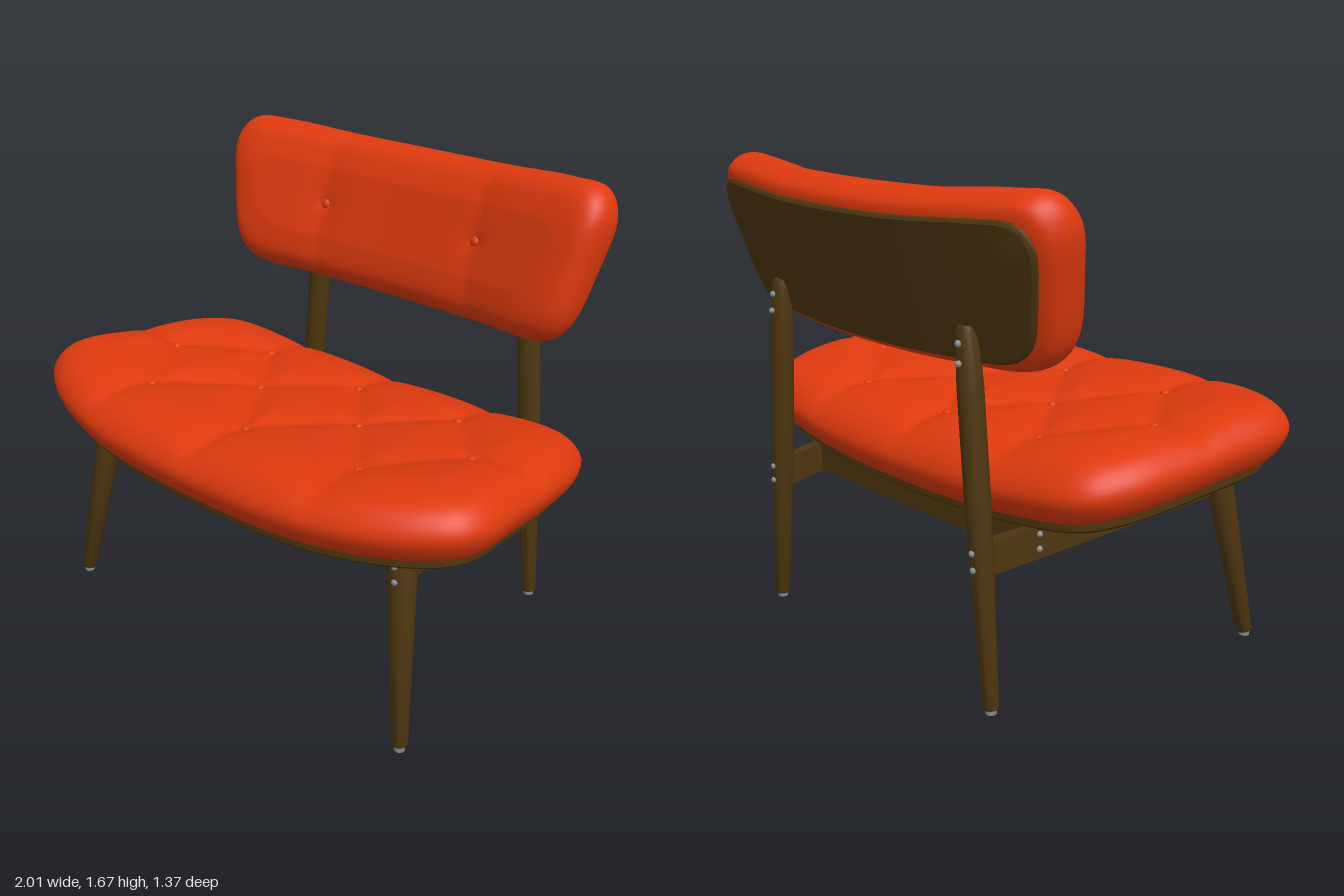
import * as THREE from 'three';
import { toCreasedNormals } from 'three/addons/utils/BufferGeometryUtils.js';

const mat = (name, color) => {
  const m = new THREE.MeshStandardMaterial({ color });
  m.name = name;
  return m;
};

// distance from a point to the segment [x1, y1, x2, y2]
function segmentDistance(x, y, [x1, y1, x2, y2]) {
  const dx = x2 - x1, dy = y2 - y1;
  const t = THREE.MathUtils.clamp(((x - x1) * dx + (y - y1) * dy) / (dx * dx + dy * dy), 0, 1);
  return Math.hypot(x - x1 - t * dx, y - y1 - t * dy);
}

// depth of the tufting at a point
function tuftDepth(x, y, tuft) {
  if (!tuft) return 0;
  const line = Math.min(...tuft.lines.map((l) => segmentDistance(Math.abs(x), y, l)));
  const dot = Math.min(...tuft.buttons.map(([bx, by]) => Math.hypot(Math.abs(x) - bx, y - by)));
  return tuft.depth * Math.exp(-line / tuft.width) + 0.015 * Math.exp(-dot / 0.03);
}

// Padded or flat slab: a mirrored outline in xy, an edge profile of [inset, height], bent by a rule
function slab(half, profile, bend, tuft, sides = 200) {
  const mirrored = half.filter((p) => p[0] > 0).map(([x, y]) => [-x, y]).reverse();
  const outline = new THREE.CatmullRomCurve3(
    [...half, ...mirrored].map(([x, y]) => new THREE.Vector3(x, y, 0)), true, 'centripetal'
  ).getSpacedPoints(sides).slice(0, sides);
  const hx = Math.max(...half.map((p) => p[0]));
  const ys = half.map((p) => p[1]);
  const cy = (Math.max(...ys) + Math.min(...ys)) / 2, hy = (Math.max(...ys) - Math.min(...ys)) / 2;

  const rim = tuft
    ? new THREE.SplineCurve(profile.map((p) => new THREE.Vector2(...p))).getPoints(22)
    : profile.map((p) => new THREE.Vector2(...p));
  const rings = [];
  for (let i = 0; i < 8; i++) rings.push([rim[0].x, rim[0].y, Math.max(i / 8, 0.002)]);
  rim.forEach((p) => rings.push([p.x, p.y, 1]));
  const last = rim[rim.length - 1], inner = tuft ? 28 : 8;
  for (let i = inner - 1; i >= 0; i--) rings.push([last.x, last.y, Math.max(i / inner, 0.002)]);

  const pos = [], index = [];
  rings.forEach(([inset, h, s], i) => {
    outline.forEach((p, j) => {
      const x = p.x * (1 - inset / hx) * s;
      const y = cy + (p.y - cy) * (1 - inset / hy) * s;
      const soft = Math.max(h / last.y, 0) ** 3;
      pos.push(x, y, h + bend(x, y) - soft * tuftDepth(x, y, tuft));
      if (i === rings.length - 1) return;
      const a = i * sides + j, b = i * sides + (j + 1) % sides;
      index.push(a, b, a + sides, b, b + sides, a + sides);
    });
  });
  const g = new THREE.BufferGeometry();
  g.setAttribute('position', new THREE.Float32BufferAttribute(pos, 3));
  g.setIndex(index);
  g.computeVertexNormals();
  return tuft ? g : toCreasedNormals(g, 0.6);
}

export function createModel() {
  const model = new THREE.Group();
  model.name = 'loungeChair';
  const fabric = mat('orange red fabric', 0xdf3a0e);
  const wood = mat('dark wood', 0x4e3610);
  const metal = mat('grey metal', 0x85888c);

  const add = (parent, name, geometry, material, at = [0, 0, 0]) => {
    const m = new THREE.Mesh(geometry, material);
    m.name = name;
    m.position.set(...at);
    parent.add(m);
    return m;
  };
  const buttonGeo = new THREE.SphereGeometry(0.018, 16, 10).scale(1, 1, 0.7);
  const addButtons = (parent, tuft, top, bend) => tuft.buttons.forEach(([x, y]) => {
    (x ? [x, -x] : [0]).forEach((bx) =>
      add(parent, 'button', buttonGeo, fabric, [bx, y, top + bend(bx, y) - tuftDepth(bx, y, tuft) + 0.006]));
  });

  // seat, laid flat: local y points to the rear, local z points up
  const seat = new THREE.Group();
  seat.name = 'seat';
  seat.rotation.x = -Math.PI / 2;
  model.add(seat);
  const seatBend = (x, y) => 0.61 - 0.08 * y + 0.075 * x * x;
  const seatOutline = [[0, -0.685], [0.5, -0.665], [0.8, -0.575], [0.96, -0.46], [1, -0.36],
    [0.985, -0.15], [0.965, 0.05], [0.92, 0.27], [0.83, 0.4], [0.5, 0.46], [0, 0.47]];
  const seatTuft = {
    depth: 0.03, width: 0.075,
    buttons: [[0, 0.21], [0.46, 0.21], [0.24, -0.07], [0.715, -0.06], [0, -0.38], [0.5, -0.37]],
    lines: [[0, 0.21, 0.24, -0.07], [0.24, -0.07, 0, -0.38], [0.46, 0.21, 0.24, -0.07],
      [0.24, -0.07, 0.5, -0.37], [0.46, 0.21, 0.715, -0.06], [0.715, -0.06, 0.5, -0.37],
      [0, 0.21, 0, 0.5], [0.46, 0.21, 0.46, 0.5], [0, -0.38, 0, -0.7], [0.5, -0.37, 0.52, -0.7],
      [0.715, -0.06, 1, -0.04]],
  };
  const seatProfile = [[0.12, 0], [0.045, 0.025], [0, 0.1], [0.02, 0.165], [0.08, 0.215], [0.2, 0.243]];
  add(seat, 'seatCushion', slab(seatOutline, seatProfile, seatBend, seatTuft), fabric);
  add(seat, 'seatBoard', slab(seatOutline, [[0.08, -0.022], [0.07, -0.012], [0.07, 0.012]], seatBend, null, 96), wood);
  addButtons(seat, seatTuft, 0.243, seatBend);

  // backrest, leaning to the rear and curved around the sitter
  const back = new THREE.Group();
  back.name = 'backrest';
  back.position.set(0, 1.34, -0.622);
  back.rotation.x = -0.29;
  model.add(back);
  const backBend = (x) => 0.15 * x * x;
  const backOutline = [[0, -0.28], [0.4, -0.28], [0.68, -0.272], [0.755, -0.21], [0.815, 0],
    [0.84, 0.19], [0.79, 0.27], [0.65, 0.285], [0.35, 0.28], [0, 0.28]];
  const backTuft = { depth: 0.018, width: 0.1, buttons: [[0.35, 0]], lines: [[0.35, -0.3, 0.35, 0.3]] };
  const backProfile = [[0.07, 0.015], [0.02, 0.035], [0, 0.1], [0.015, 0.165], [0.06, 0.21], [0.15, 0.23]];
  add(back, 'backCushion', slab(backOutline, backProfile, backBend, backTuft), fabric);
  add(back, 'backBoard', slab(backOutline, [[0.06, 0], [0.052, 0.008], [0.052, 0.03]], backBend, null, 96), wood);
  addButtons(back, backTuft, 0.23, backBend);

  // turned leg between two points; profile rows are [radius, fraction of length]
  const up = new THREE.Vector3(0, 1, 0);
  const leg = (name, from, to, rows) => {
    const a = new THREE.Vector3(...from), d = new THREE.Vector3(...to).sub(a), len = d.length();
    const pts = rows.map(([r, t]) => new THREE.Vector2(r, t * len));
    const m = add(model, name, toCreasedNormals(new THREE.LatheGeometry(pts, 24), 0.7), wood, from);
    m.quaternion.setFromUnitVectors(up, d.normalize());
    add(model, 'footGlide', new THREE.CylinderGeometry(0.019, 0.019, 0.02, 16), metal, [from[0], 0.01, from[2]]);
  };
  // plank between two points
  const rail = (name, from, to, thick, tall) => {
    const a = new THREE.Vector3(...from), b = new THREE.Vector3(...to);
    const m = add(model, name, new THREE.BoxGeometry(thick, tall, a.distanceTo(b)), wood);
    m.position.copy(a).add(b).multiplyScalar(0.5);
    m.lookAt(b);
  };
  const boltGeo = new THREE.SphereGeometry(0.011, 12, 8);

  for (const s of [1, -1]) {
    leg('frontLeg', [s * 0.802, 0.016, 0.5], [s * 0.712, 0.66, 0.4],
      [[0, 0], [0.024, 0], [0.028, 0.015], [0.049, 0.9], [0.049, 1], [0, 1]]);
    leg('backLeg', [s * 0.595, 0.016, -0.545], [s * 0.492, 1.25, -0.55],
      [[0, 0], [0.024, 0], [0.027, 0.01], [0.037, 0.35], [0.042, 0.55], [0.042, 0.85], [0.035, 0.98], [0.028, 1], [0, 1]]);
    rail('sideRail', [s * 0.7, 0.592, 0.4], [s * 0.555, 0.515, -0.53], 0.04, 0.11);

    // bolt heads on the legs and side rails
    [[0.722, 0.635, 0.452], [0.729, 0.585, 0.458], [0.701, 0.612, 0.28], [0.701, 0.56, 0.28],
      [0.604, 0.56, -0.345], [0.604, 0.51, -0.345], [0.552, 0.545, -0.585], [0.556, 0.49, -0.584],
      [0.497, 1.2, -0.588], [0.502, 1.14, -0.592]]
      .forEach(([x, y, z]) => add(model, 'bolt', boltGeo, metal, [s * x, y, z]));
  }

  // cross rails under the seat
  rail('frontCrossRail', [-0.67, 0.575, 0.28], [0.67, 0.575, 0.28], 0.04, 0.095);
  rail('rearCrossRail', [-0.575, 0.527, -0.345], [0.575, 0.527, -0.345], 0.04, 0.1);
  return model;
}
